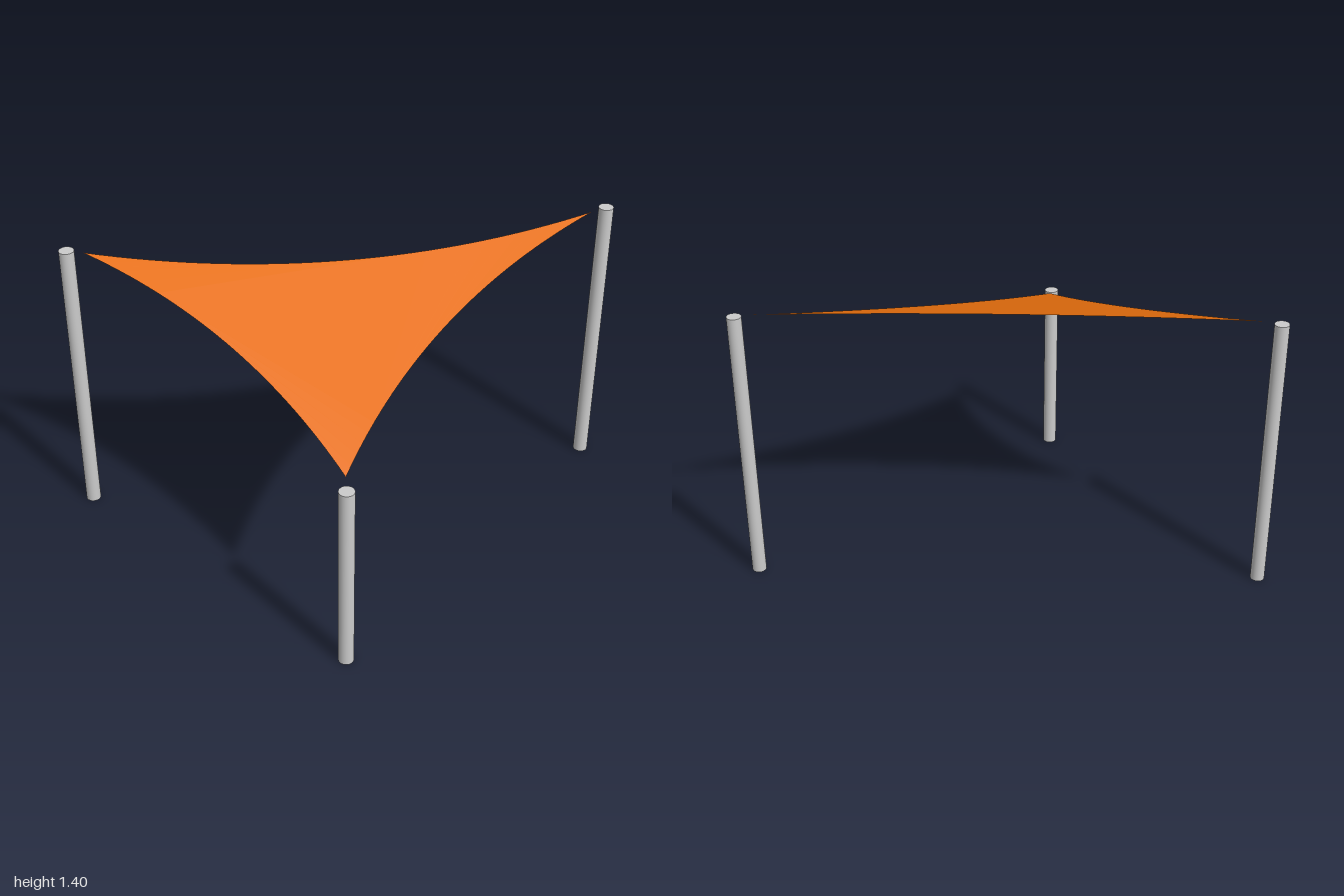
import * as THREE from 'three';

export function createModel() {
  const group = new THREE.Group();
  const steel = new THREE.MeshStandardMaterial({ color: 0xcccccc });
  const fabric = new THREE.MeshStandardMaterial({ color: 0xe8700e, side: THREE.DoubleSide });

  // Upright poles: [name, x, z, height]
  const radius = 0.035;
  const poles = [
    ['backRightPole', -0.881, -0.829, 1.4],
    ['frontRightPole', -0.965, 0.829, 0.935],
    ['frontLeftPole', 0.965, 0.82, 1.4],
  ];
  for (const [name, x, z, height] of poles) {
    const pole = new THREE.Mesh(new THREE.CylinderGeometry(radius, radius, height, 24), steel);
    pole.name = name;
    pole.position.set(x, height / 2, z);
    group.add(pole);
  }

  // Sail outline in plan (x, z): corners, and the middle of each inward-curved edge
  const corners = [[-0.845, -0.76], [-0.91, 0.78], [0.89, 0.79]];
  const middles = [[-0.766, 0.01], [-0.03, 0.655], [-0.082, 0.126]];
  const outline = new THREE.Shape();
  outline.moveTo(corners[0][0], -corners[0][1]);
  corners.forEach((a, i) => {
    const b = corners[(i + 1) % 3];
    const [cx, cz] = [0, 1].map((k) => 2 * middles[i][k] - (a[k] + b[k]) / 2);
    outline.quadraticCurveTo(cx, -cz, b[0], -b[1]);
  });

  // Lay the sail flat, then tilt it so the front right corner hangs low
  const sailGeometry = new THREE.ShapeGeometry(outline, 32);
  sailGeometry.rotateX(-Math.PI / 2);
  const p = sailGeometry.attributes.position;
  for (let i = 0; i < p.count; i++) {
    p.setY(i, 1.398 + 0.25 * (p.getX(i) + 0.845) - 0.281 * (p.getZ(i) + 0.76));
  }
  sailGeometry.computeVertexNormals();
  const sail = new THREE.Mesh(sailGeometry, fabric);
  sail.name = 'shadeSail';
  group.add(sail);

  return group;
}
